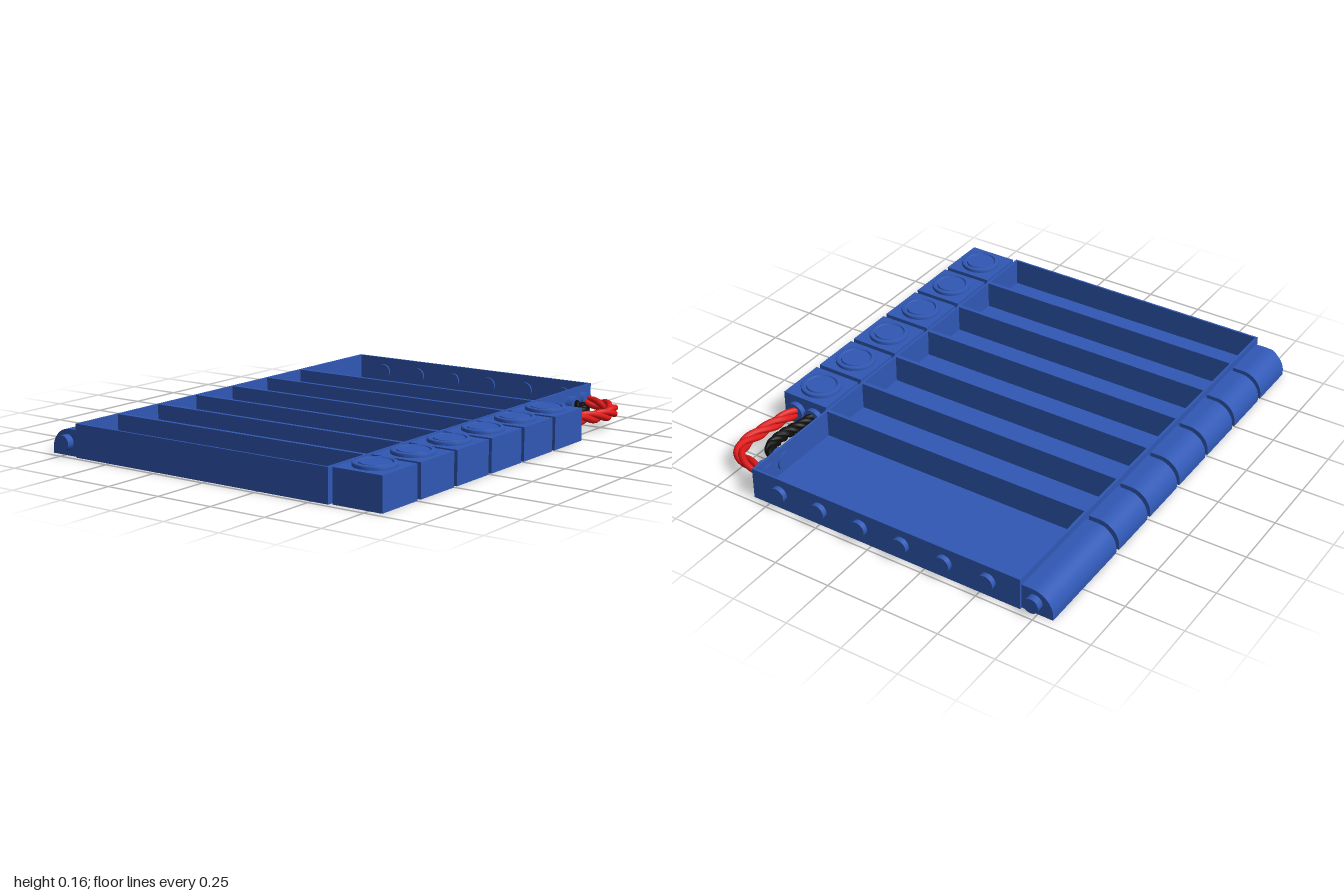
import * as THREE from 'three';

export function createModel() {
  const root = new THREE.Group();
  const blue = new THREE.MeshStandardMaterial({ color: 0x3058b4 });
  const red = new THREE.MeshStandardMaterial({ color: 0xe01818 });
  const black = new THREE.MeshStandardMaterial({ color: 0x0c0c0c });

  const add = (name, geo, x = 0, y = 0, z = 0, mat = blue, parent = root) => {
    const m = new THREE.Mesh(geo, mat);
    m.name = name;
    m.position.set(x, y, z);
    parent.add(m);
    return m;
  };
  const rod = (r, len, axis) => {
    const g = new THREE.CylinderGeometry(r, r, len, 32);
    if (axis === 'x') g.rotateZ(Math.PI / 2);
    if (axis === 'z') g.rotateX(Math.PI / 2);
    return g;
  };
  const rect = (target, x0, x1, y0, y1) => {
    target.moveTo(x0, y0);
    target.lineTo(x1, y0);
    target.lineTo(x1, y1);
    target.lineTo(x0, y1);
    target.closePath();
    return target;
  };

  // Column layout: six narrow bays and one wide bay
  const pitch = 0.2445;
  const bays = [];
  for (let i = 0; i < 6; i++) bays.push([-0.98 + i * pitch, -0.98 + (i + 1) * pitch]);
  bays.push([-0.98 + 6 * pitch, 0.973]);

  // Tray: floor plate and a wall grid cut by the seven bays
  const zBack = -0.68, zFront = 0.578, floor = 0.02, top = 0.14;
  add('trayFloor', new THREE.BoxGeometry(1.953, floor, zFront - zBack), -0.0035, floor / 2, (zBack + zFront) / 2);
  const grid = rect(new THREE.Shape(), -0.98, 0.973, -zFront, -zBack);
  bays.forEach(([a, b]) => grid.holes.push(rect(new THREE.Path(), a + 0.009, b - 0.009, -zFront + 0.01, -zBack - 0.01)));
  const walls = new THREE.ExtrudeGeometry(grid, { depth: top - floor, bevelEnabled: false });
  walls.rotateX(-Math.PI / 2);
  add('trayWalls', walls, 0, floor, 0);

  // Side studs
  for (let i = 0; i < 6; i++) add('sideStud', rod(0.035, 0.04, 'x'), 0.976, 0.073, 0.443 - i * 0.196);

  // Rear hinge: rounded knuckles on a rod (profile x runs backwards)
  const profile = new THREE.Shape();
  profile.moveTo(0, 0);
  profile.lineTo(0.137, 0);
  profile.lineTo(0.137, 0.018);
  profile.absellipse(0.045, 0.018, 0.092, 0.092, 0, Math.PI / 2, false);
  profile.lineTo(0, 0.11);
  profile.closePath();
  bays.forEach(([a, b]) => {
    const g = new THREE.ExtrudeGeometry(profile, { depth: b - a - 0.022, bevelEnabled: false, curveSegments: 20 });
    g.rotateY(Math.PI / 2);
    add('hingeKnuckle', g, a + 0.011, 0, zBack);
  });
  add('hingeRod', rod(0.033, 1.993, 'x'), -0.0035, 0.055, -0.737);

  // Front latch blocks with round ringed buttons
  const button = new THREE.LatheGeometry([
    [0.086, 0], [0.086, 0.011], [0.083, 0.015], [0.069, 0.015], [0.069, 0.015],
    [0.067, 0.008], [0.063, 0.008], [0.063, 0.008], [0.061, 0.015], [0.061, 0.015], [0, 0.015],
  ].map(([x, y]) => new THREE.Vector2(x, y)), 40);
  bays.slice(0, 6).forEach(([a, b]) => {
    const block = new THREE.Group();
    block.name = 'latchBlock';
    block.position.set((a + b) / 2, 0, 0.699);
    root.add(block);
    add('blockBody', new THREE.BoxGeometry(0.223, top, 0.22), 0, top / 2, 0, blue, block);
    add('button', button, 0, top, 0, blue, block);
    add('blockPeg', rod(0.03, 0.03, 'z'), 0, 0.07, -0.115, blue, block);
  });

  // Cable sleeves joining the blocks and ending in a short collar
  [0.652, 0.743].forEach((z) => add('cableSleeve', rod(0.042, 1.37, 'x'), -0.185, 0.07, z));
  [0.787, 0.888].forEach((x) => add('cableSocket', rod(0.041, 0.05, 'z'), x, 0.072, 0.585));

  // Twisted cables: strands wound around a centre curve
  const cable = (name, points, mat, turns, wind, strandR) => {
    const path = new THREE.CatmullRomCurve3(points.map((p) => new THREE.Vector3(...p)));
    const n = 80;
    const frames = path.computeFrenetFrames(n, false);
    for (let s = 0; s < 3; s++) {
      const pts = [];
      for (let i = 0; i <= n; i++) {
        const t = (i / n) * turns * Math.PI * 2 + (s * Math.PI * 2) / 3;
        pts.push(path.getPointAt(i / n)
          .addScaledVector(frames.normals[i], Math.cos(t) * wind)
          .addScaledVector(frames.binormals[i], Math.sin(t) * wind));
      }
      add(name, new THREE.TubeGeometry(new THREE.CatmullRomCurve3(pts), 140, strandR, 10), 0, 0, 0, mat);
    }
  };
  cable('redCable', [
    [0.48, 0.072, 0.741], [0.58, 0.072, 0.757], [0.68, 0.066, 0.779], [0.77, 0.064, 0.785],
    [0.84, 0.068, 0.755], [0.878, 0.072, 0.69], [0.888, 0.072, 0.595],
  ], red, 2, 0.014, 0.0145);
  cable('blackCable', [
    [0.48, 0.07, 0.652], [0.56, 0.07, 0.662], [0.62, 0.066, 0.683], [0.69, 0.064, 0.688],
    [0.75, 0.068, 0.668], [0.78, 0.072, 0.63], [0.787, 0.072, 0.595],
  ], black, 3, 0.013, 0.0135);

  return root;
}
